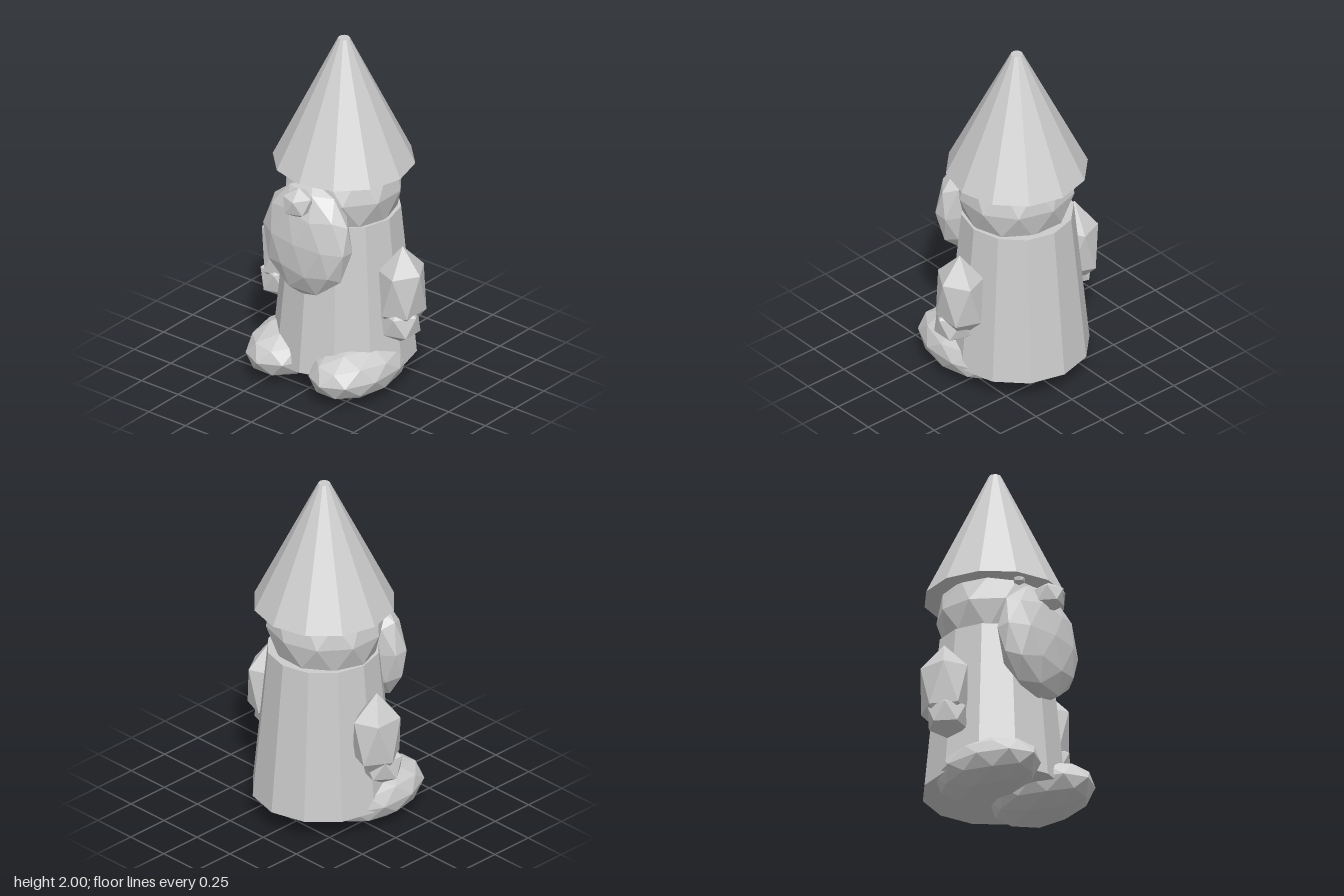
import * as THREE from 'three';

const stone = new THREE.MeshStandardMaterial({ color: 0xcccccc, flatShading: true });
stone.name = 'stone grey';

const group = new THREE.Group();

function add(parent, name, geometry, x, y, z) {
  const mesh = new THREE.Mesh(geometry, stone);
  mesh.name = name;
  mesh.position.set(x, y, z);
  parent.add(mesh);
  return mesh;
}

// Faceted ball standing on one vertex, stretched to three radii
function ball(rx, ry, rz, detail = 0) {
  const g = new THREE.IcosahedronGeometry(1, detail);
  g.rotateX(-Math.atan((1 + Math.sqrt(5)) / 2));
  g.rotateY(Math.PI / 2);
  return g.scale(rx, ry, rz);
}

export function createModel() {
  const model = new THREE.Group();
  model.name = 'gardenGnome';

  // Robe, head and pointed hat
  add(model, 'robe', new THREE.CylinderGeometry(0.305, 0.39, 0.87, 12), 0, 0.565, -0.048);
  add(model, 'head', ball(0.33, 0.31, 0.31, 1), 0, 1.14, -0.038);
  add(model, 'hat', new THREE.CylinderGeometry(0.032, 0.385, 0.73, 12), 0, 1.635, -0.042);

  // Face
  const beard = add(model, 'beard', ball(0.288, 0.34, 0.13, 1), 0, 0.92, 0.268);
  beard.rotation.set(-0.06, 0, -0.06);
  add(model, 'nose', ball(0.092, 0.09, 0.1), 0, 1.163, 0.345);

  // Paired parts
  for (const [side, s] of [['left', 1], ['right', -1]]) {
    add(model, side + 'Eye', ball(0.037, 0.035, 0.035), s * 0.118, 1.265, 0.243);
    add(model, side + 'Arm', ball(0.133, 0.265, 0.158), s * 0.4, 0.605, -0.043);
    add(model, side + 'Hand', ball(0.12, 0.12, 0.12), s * 0.41, 0.43, -0.012);
    add(model, side + 'Foot', ball(0.213, 0.152, 0.335, 1), s * 0.215, 0.153, 0.103);
  }
  return model;
}
